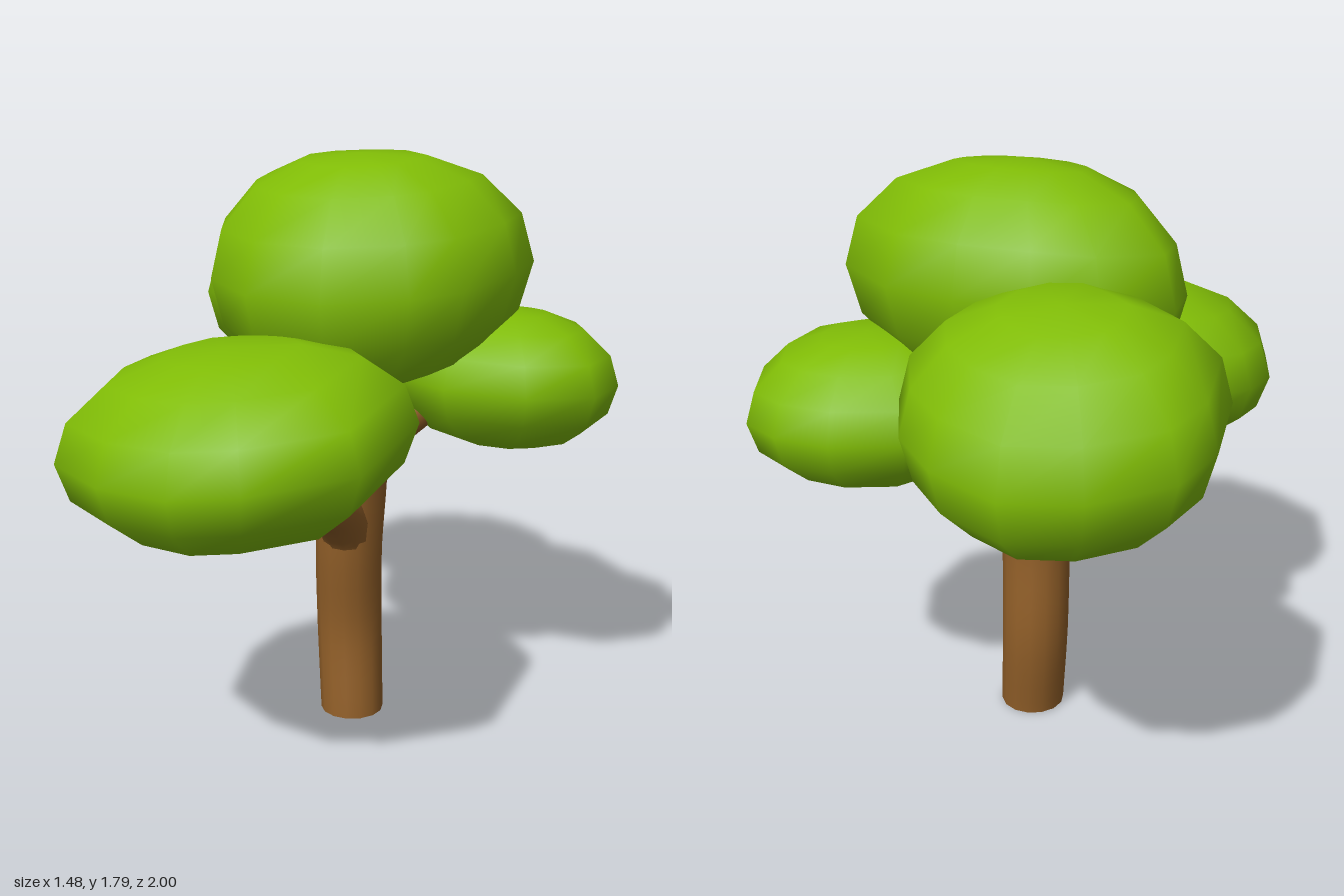
import * as THREE from 'three';

const bark = new THREE.MeshStandardMaterial({ color: 0x905e28, side: THREE.DoubleSide });
bark.name = 'bark brown';
const leaf = new THREE.MeshStandardMaterial({ color: 0x80bc06 });
leaf.name = 'leaf green';

// Tapering round limb through [x, y, z, radius] points, with a level foot
function limb(name, pts) {
  const path = new THREE.CatmullRomCurve3(pts.map(p => new THREE.Vector3(p[0], p[1], p[2])));
  const seg = 24, sides = 14;
  const geo = new THREE.TubeGeometry(path, seg, 1, sides, false);
  const pos = geo.attributes.position;
  const v = new THREE.Vector3();
  for (let i = 0; i <= seg; i++) {
    const t = path.getUtoTmapping(i / seg) * (pts.length - 1);
    const k = Math.min(Math.floor(t), pts.length - 2);
    const r = THREE.MathUtils.lerp(pts[k][3], pts[k + 1][3], t - k);
    const c = path.getPointAt(i / seg);
    for (let j = 0; j <= sides; j++) {
      const n = i * (sides + 1) + j;
      v.fromBufferAttribute(pos, n).sub(c).multiplyScalar(r).add(c);
      pos.setXYZ(n, v.x, i === 0 ? c.y : v.y, v.z);
    }
  }
  const mesh = new THREE.Mesh(geo, bark);
  mesh.name = name;
  return mesh;
}

// Rounded leaf clump: an [x, z] outline shrunk ring by ring towards two poles,
// leaning by slopeX and slopeZ
function clump(name, [cx, cy, cz], height, slopeX, slopeZ, outline) {
  const angles = [-72, -50, -25, 0, 25, 50, 72];
  const n = outline.length, last = angles.length - 1;
  const verts = [], faces = [];
  for (const deg of angles) {
    const a = THREE.MathUtils.degToRad(deg);
    const s = Math.pow(Math.cos(a), 0.82);
    for (const [x, z] of outline) {
      const dx = (x - cx) * s, dz = (z - cz) * s;
      verts.push(cx + dx, cy + height * Math.sin(a) + slopeX * dx + slopeZ * dz, cz + dz);
    }
  }
  const bottom = n * angles.length, top = bottom + 1;
  verts.push(cx, cy - height, cz, cx, cy + height, cz);
  for (let j = 0; j < n; j++) {
    const k = (j + 1) % n;
    for (let i = 0; i < last; i++) {
      const a = i * n, b = a + n;
      faces.push(a + j, a + k, b + k, a + j, b + k, b + j);
    }
    faces.push(bottom, k, j, top, last * n + j, last * n + k);
  }
  const geo = new THREE.BufferGeometry();
  geo.setAttribute('position', new THREE.Float32BufferAttribute(verts, 3));
  geo.setIndex(faces);
  geo.computeVertexNormals();
  const mesh = new THREE.Mesh(geo, leaf);
  mesh.name = name;
  return mesh;
}

export function createModel() {
  const tree = new THREE.Group();
  tree.name = 'tree';

  // Curved trunk, open at the foot, running up into the top clump
  tree.add(limb('trunk', [
    [-0.015, 0, -0.04, 0.101], [-0.035, 0.28, -0.068, 0.105], [-0.028, 0.55, -0.045, 0.106],
    [-0.01, 0.8, -0.03, 0.11], [0, 0.95, 0, 0.094], [0, 1.12, 0.035, 0.06], [0, 1.35, 0.03, 0.04],
  ]));

  // Branches growing out of the trunk into the side clumps
  tree.add(limb('frontBranch', [
    [-0.028, 0.46, -0.055, 0.09], [-0.02, 0.61, -0.02, 0.088], [-0.02, 0.71, 0.075, 0.08],
    [-0.025, 0.755, 0.19, 0.06], [-0.04, 0.815, 0.35, 0.038], [-0.06, 0.9, 0.46, 0.01],
  ]));
  tree.add(limb('backBranch', [
    [-0.02, 0.66, -0.035, 0.095], [-0.02, 0.83, -0.055, 0.097], [-0.06, 0.94, -0.13, 0.088],
    [-0.13, 1.0, -0.25, 0.068], [-0.24, 1.1, -0.42, 0.045], [-0.3, 1.2, -0.52, 0.01],
  ]));
  tree.add(limb('leftBranch', [
    [-0.02, 0.64, -0.037, 0.097], [0, 0.8, -0.037, 0.1], [0.055, 0.92, -0.09, 0.085],
    [0.16, 1.0, -0.17, 0.06], [0.32, 1.08, -0.27, 0.01],
  ]));

  // Leaf clumps
  tree.add(clump('topLeaves', [0, 1.445, -0.06], 0.342, 0.02, -0.1, [
    [0.03, -0.495], [-0.18, -0.47], [-0.36, -0.42], [-0.51, -0.26], [-0.48, -0.04], [-0.4, 0.14],
    [-0.2, 0.31], [0.06, 0.37], [0.29, 0.28], [0.41, 0.17], [0.49, -0.06], [0.495, -0.23], [0.25, -0.45],
  ]));
  tree.add(clump('frontLeaves', [-0.13, 1.045, 0.54], 0.26, 0.07, -0.08, [
    [-0.12, 0.09], [-0.3, 0.11], [-0.47, 0.17], [-0.59, 0.36], [-0.61, 0.54], [-0.54, 0.79],
    [-0.31, 0.94], [-0.07, 1.0], [0.11, 0.95], [0.35, 0.77], [0.345, 0.34], [0.25, 0.23], [0.07, 0.12],
  ]));
  tree.add(clump('backLeaves', [-0.31, 1.25, -0.58], 0.295, 0, 0.15, [
    [-0.1, -0.92], [-0.31, -1.0], [-0.51, -0.95], [-0.69, -0.81], [-0.74, -0.65], [-0.71, -0.4],
    [-0.5, -0.26], [-0.3, -0.17], [-0.08, -0.22], [0.07, -0.38], [0.13, -0.62], [0.04, -0.8],
  ]));
  tree.add(clump('leftLeaves', [0.38, 1.093, -0.32], 0.217, -0.03, 0.04, [
    [0.52, -0.635], [0.34, -0.65], [0.14, -0.58], [0.05, -0.45], [0.03, -0.28], [0.12, -0.1],
    [0.3, 0.015], [0.55, 0], [0.72, -0.14], [0.74, -0.37], [0.65, -0.57],
  ]));
  return tree;
}
